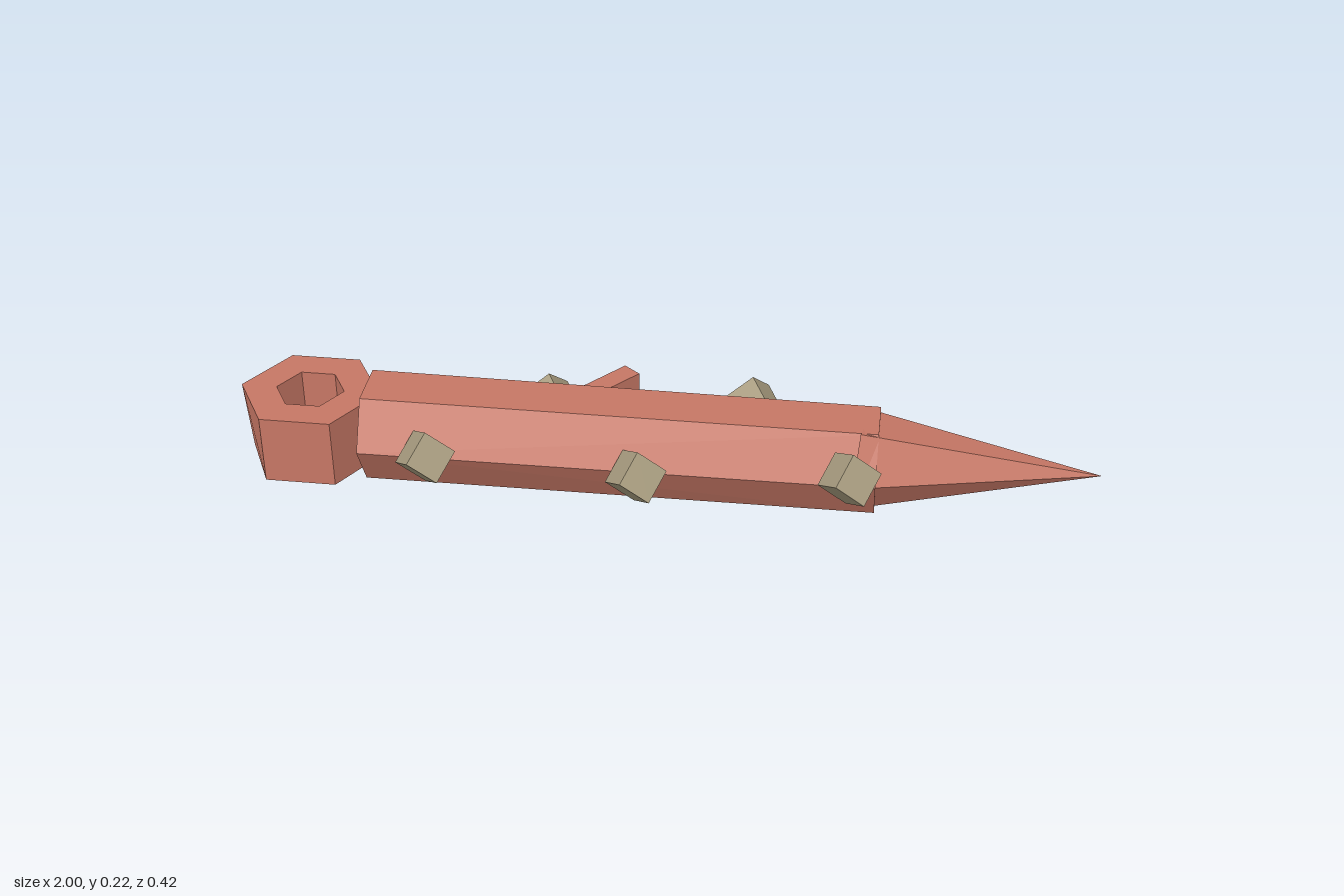
import * as THREE from 'three';
import { ConvexGeometry } from 'three/addons/geometries/ConvexGeometry.js';

export function createModel() {
  const model = new THREE.Group();
  const rust = new THREE.MeshStandardMaterial({ name: 'rust red', color: 0xc67765, flatShading: true });
  const stone = new THREE.MeshStandardMaterial({ name: 'khaki stone', color: 0xa99d80, flatShading: true });
  const V = (x, y, z) => new THREE.Vector3(x, y, z);
  const add = (name, geometry, material) => {
    const mesh = new THREE.Mesh(geometry, material);
    mesh.name = name;
    model.add(mesh);
    return mesh;
  };
  const midY = 0.112;

  // Six-sided shaft along x, slightly narrower in z towards the tip
  const hexRing = (x, ry, rz) => Array.from({ length: 6 }, (_, i) => {
    const a = i * Math.PI / 3;
    return V(x, midY + ry * Math.sin(a), rz * Math.cos(a));
  });
  add('shaft', new ConvexGeometry([...hexRing(-0.7, 0.127, 0.127), ...hexRing(0.492, 0.124, 0.117)]), rust);

  // Six-sided point, its base set a little askew in the shaft
  const tipBase = [[0.067, 0.222], [-0.055, 0.211], [-0.112, 0.11], [-0.06, 0.012], [0.06, 0.016], [0.122, 0.11]];
  add('tip', new ConvexGeometry([V(1, midY, 0), ...tipBase.map(([z, y]) => V(0.465 - 0.2 * z, y, z))]), rust);

  // Hexagonal end ring with a hexagonal hole
  const hexPoints = (r) => Array.from({ length: 6 }, (_, i) =>
    new THREE.Vector2(r * Math.cos(i * Math.PI / 3), r * Math.sin(i * Math.PI / 3)));
  const ringShape = new THREE.Shape(hexPoints(0.165));
  ringShape.holes.push(new THREE.Path(hexPoints(0.081).reverse()));
  const ringGeometry = new THREE.ExtrudeGeometry(ringShape, { depth: 0.167, bevelEnabled: false });
  ringGeometry.rotateX(-Math.PI / 2).translate(-0.835, 0.031, 0);
  // Chipped lower corner at the far end
  const p = ringGeometry.attributes.position;
  for (let i = 0; i < p.count; i++) {
    if (p.getX(i) < -0.99 && p.getY(i) < 0.1) p.setX(i, p.getX(i) + 0.013);
  }
  add('endRing', ringGeometry, rust);

  // Short peg slanting out of the back
  const peg = add('peg', new THREE.BoxGeometry(0.22, 0.055, 0.05), rust);
  peg.position.set(-0.173, 0.163, -0.109);
  peg.rotation.y = 0.88;

  // Tilted stone cubes along both sides
  const cubes = [[-0.532, 0.133, 0.15], [-0.047, 0.121, 0.15], [0.434, 0.152, 0.145],
    [-0.29, 0.118, -0.143], [0.195, 0.147, -0.142]];
  for (const [x, y, z] of cubes) {
    const side = Math.sign(z);
    const cube = add(side > 0 ? 'frontStone' : 'backStone', new THREE.BoxGeometry(0.084, 0.084, 0.084), stone);
    cube.position.set(x, y, z);
    cube.lookAt(x + 0.51 * side, y + 0.45, z + 0.73 * side);
    cube.rotateZ(Math.PI / 4);
  }
  return model;
}
